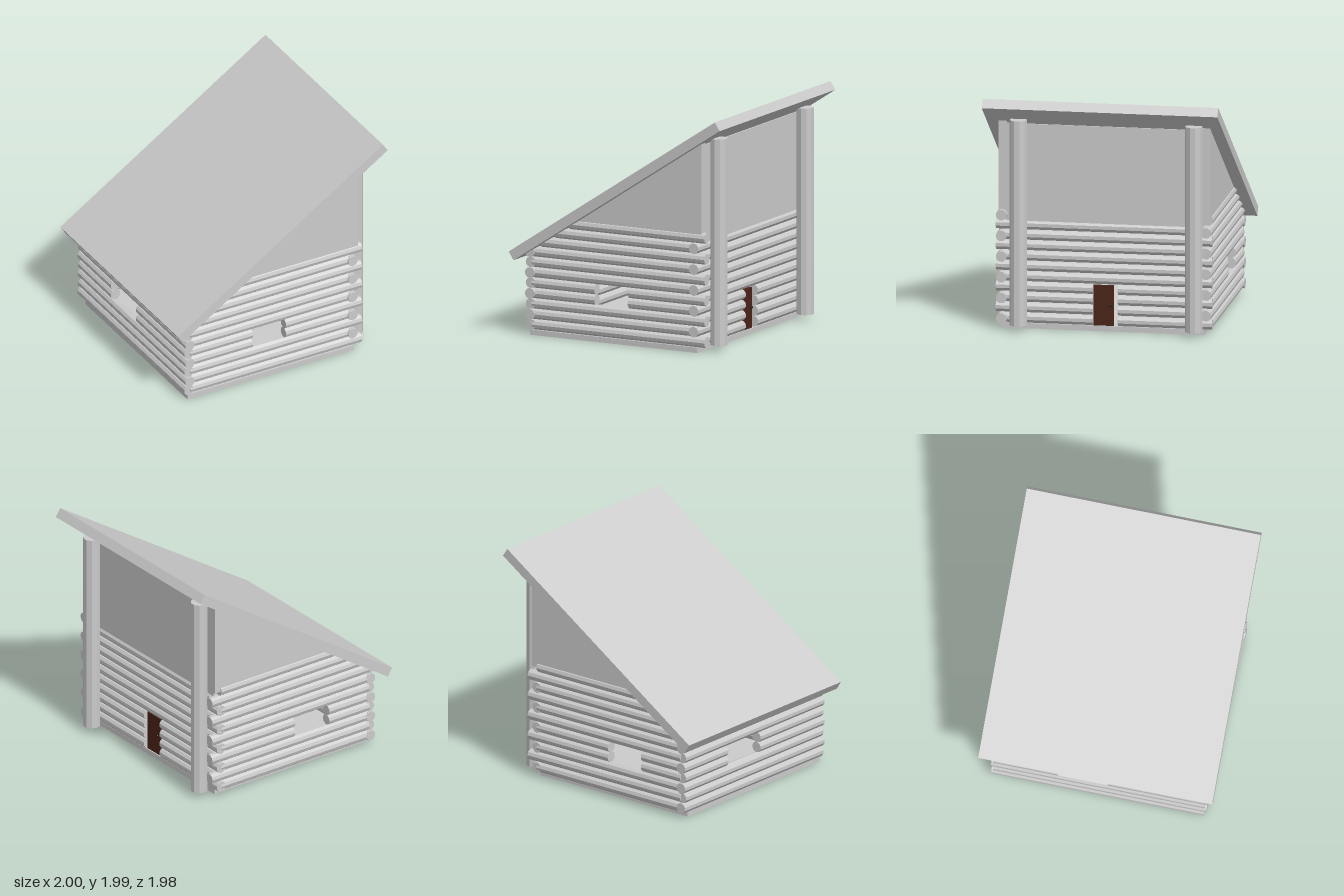
import * as THREE from 'three';

const grey = new THREE.MeshStandardMaterial({ color: 0xcccccc, flatShading: true });
const brown = new THREE.MeshStandardMaterial({ color: 0x4a2418, flatShading: true });
const dark = new THREE.MeshStandardMaterial({ color: 0x111111, flatShading: true });

const LOG_R = 0.046, ROW = 0.088, FIRST_ROW = 0.09;
const SLOPE = 1.28 / 1.95; // rise of the roof
const roofUnder = (x) => 0.64 + SLOPE * (x + 0.95);
const xUnderRoof = (y) => (y - 0.64) / SLOPE - 0.95;

function add(parent, name, geometry, material = grey, x = 0, y = 0, z = 0) {
  const mesh = new THREE.Mesh(geometry, material);
  mesh.name = name;
  mesh.position.set(x, y, z);
  parent.add(mesh);
  return mesh;
}

// Box given by its two opposite corners
function addBox(parent, name, a, b, material) {
  const size = b.map((v, i) => v - a[i]);
  const mid = b.map((v, i) => (v + a[i]) / 2);
  return add(parent, name, new THREE.BoxGeometry(...size), material, ...mid);
}

// One log from a to b along an axis, at height y and offset across
function addLog(parent, axis, a, b, y, across) {
  const geometry = new THREE.CylinderGeometry(LOG_R, LOG_R, b - a, 10);
  const mid = (a + b) / 2;
  if (axis === 'x') add(parent, 'log', geometry.rotateZ(Math.PI / 2), grey, mid, y, across);
  else add(parent, 'log', geometry.rotateX(Math.PI / 2), grey, across, y, mid);
}

// Stacked logs; rows inside the opening are split in two
function addWall(parent, name, axis, rows, across, extent, opening) {
  const wall = new THREE.Group();
  wall.name = name;
  for (let i = 0; i < rows; i++) {
    const y = FIRST_ROW + i * ROW;
    const [a, b] = extent(i, y);
    if (i >= opening.rows[0] && i <= opening.rows[1]) {
      addLog(wall, axis, a, opening.from, y, across);
      addLog(wall, axis, opening.to, b, y, across);
    } else addLog(wall, axis, a, b, y, across);
  }
  parent.add(wall);
}

// Triangular panel between the gable logs and the roof
function addGable(parent, name, z0, depth) {
  const shape = new THREE.Shape();
  const y0 = 0.97, x1 = 0.77;
  shape.moveTo(xUnderRoof(y0), y0);
  shape.lineTo(x1, y0);
  shape.lineTo(x1, roofUnder(x1));
  const geometry = new THREE.ExtrudeGeometry(shape, { depth, bevelEnabled: false });
  add(parent, name, geometry, grey, 0, 0, z0);
}

export function createModel() {
  const cabin = new THREE.Group();
  cabin.name = 'logCabin';

  addBox(cabin, 'floor', [-0.85, 0, -0.83], [0.73, 0.045, 0.89]);

  // Log walls, with ends crossing alternately at the corners
  const gableStart = (y) => Math.max(-0.83, xUnderRoof(y - 0.02));
  addWall(cabin, 'frontWall', 'x', 11, 0.86,
    (i, y) => [gableStart(y), i % 2 ? 0.71 : 0.805],
    { rows: [3, 4], from: -0.235, to: 0.08 });
  addWall(cabin, 'backWall', 'x', 11, -0.86,
    (i, y) => [gableStart(y), i % 2 ? 0.805 : 0.71],
    { rows: [3, 4], from: -0.41, to: -0.055 });
  addWall(cabin, 'doorWall', 'z', 10, 0.71,
    (i) => (i % 2 ? [-0.85, 0.915] : [-0.9, 0.85]),
    { rows: [0, 3], from: -0.11, to: 0.1 });
  addWall(cabin, 'lowWall', 'z', 8, -0.84,
    (i) => (i % 2 ? [-0.89, 0.915] : [-0.905, 0.9]),
    { rows: [3, 4], from: -0.34, to: 0.08 });

  // Plain upper panels
  addGable(cabin, 'frontGable', 0.82, 0.07);
  addGable(cabin, 'backGable', -0.89, 0.07);
  addBox(cabin, 'upperDoorWall', [0.68, 0.88, -0.83], [0.74, 1.74, 0.83]);

  // Door and knob
  addBox(cabin, 'door', [0.69, 0.045, -0.07], [0.72, 0.385, 0.1], brown);
  add(cabin, 'doorKnob', new THREE.SphereGeometry(0.011, 8, 6), dark, 0.728, 0.22, -0.047);

  // Posts carrying the high side of the roof
  for (const z of [0.71, -0.765]) {
    add(cabin, 'post', new THREE.CylinderGeometry(0.073, 0.073, 1.745, 10), grey, 0.837, 0.9225, z);
  }

  // Sloping roof slab
  const roof = add(cabin, 'roof', new THREE.BoxGeometry(Math.hypot(1.95, 1.28), 0.083, 1.98), grey, 0, 1.312, 0);
  roof.rotation.z = Math.atan(SLOPE);

  return cabin;
}
